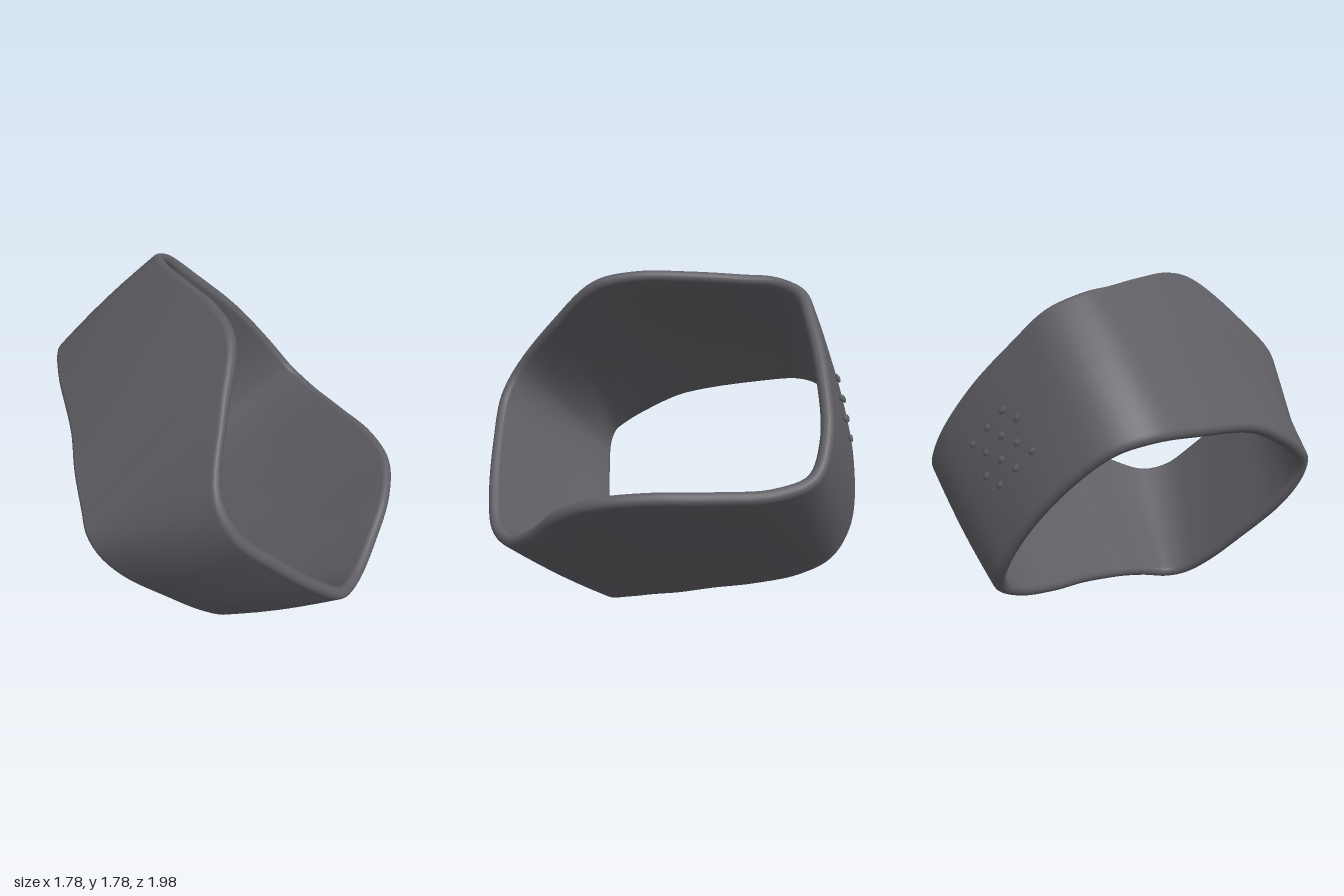
import * as THREE from 'three';

// Matching stations around the band: front rim x,y,z then back rim x,y,z
const STATIONS = [
  [-0.15, 1.78, -0.10, -0.78, 1.12, -0.10], [-0.15, 1.78, 0.20, -0.84, 1.03, 0.10],
  [-0.18, 1.73, 0.42, -0.875, 0.93, 0.27], [-0.33, 1.53, 0.65, -0.89, 0.85, 0.36],
  [-0.48, 1.26, 0.88, -0.85, 0.72, 0.40], [-0.43, 1.08, 0.97, -0.74, 0.55, 0.41],
  [-0.22, 0.84, 0.99, -0.52, 0.32, 0.41], [0.02, 0.60, 0.98, -0.32, 0.13, 0.41],
  [0.20, 0.45, 0.94, -0.18, 0.03, 0.40], [0.36, 0.41, 0.84, -0.07, 0.00, 0.35],
  [0.55, 0.49, 0.70, 0.02, 0.03, 0.24], [0.72, 0.62, 0.56, 0.09, 0.065, 0.10],
  [0.84, 0.70, 0.38, 0.14, 0.09, -0.03], [0.885, 0.73, 0.15, 0.18, 0.125, -0.20],
  [0.88, 0.73, -0.15, 0.22, 0.16, -0.42], [0.86, 0.74, -0.42, 0.26, 0.22, -0.65],
  [0.81, 0.81, -0.62, 0.27, 0.31, -0.81], [0.68, 1.00, -0.71, 0.18, 0.47, -0.93],
  [0.45, 1.28, -0.73, -0.02, 0.75, -0.985], [0.20, 1.52, -0.72, -0.27, 1.02, -0.98],
  [0.02, 1.68, -0.69, -0.46, 1.17, -0.93], [-0.10, 1.75, -0.56, -0.60, 1.22, -0.80],
  [-0.14, 1.765, -0.38, -0.69, 1.20, -0.55],
];
const R = 0.033; // half the wall thickness

function bandGeometry() {
  const loop = (o) => new THREE.CatmullRomCurve3(
    STATIONS.map((s) => new THREE.Vector3(s[o], s[o + 1], s[o + 2])), true, 'centripetal');
  const front = loop(0), back = loop(3), N = 138, ROWS = 6, ARC = 8;
  const positions = [], index = [];
  let P = 0;
  for (let i = 0; i < N; i++) {
    const t = i / N;
    const f = front.getPoint(t), b = back.getPoint(t);
    const across = f.clone().sub(b).normalize();
    const tangent = front.getTangent(t).add(back.getTangent(t));
    const out = tangent.cross(across).normalize();
    // Centres of the two rounded rims
    const cf = f.clone().addScaledVector(out, -R).addScaledVector(across, -0.4 * R);
    const cb = b.clone().addScaledVector(out, -R).addScaledVector(across, 0.4 * R);
    const ring = [];
    const wall = (from, to, side) => {
      for (let k = 1; k < ROWS; k++) {
        const bulge = 0.012 * Math.sin(Math.PI * k / ROWS);
        ring.push(from.clone().lerp(to, k / ROWS).addScaledVector(out, side * R + bulge));
      }
    };
    const rim = (c, dir) => {
      for (let k = 0; k <= ARC; k++) {
        const a = Math.PI * k / ARC;
        ring.push(c.clone().addScaledVector(out, dir * R * Math.cos(a))
          .addScaledVector(across, dir * R * Math.sin(a)));
      }
    };
    wall(cb, cf, 1);
    rim(cf, 1);
    wall(cf, cb, -1);
    rim(cb, -1);
    P = ring.length;
    ring.forEach((p) => positions.push(p.x, p.y, p.z));
  }
  for (let i = 0; i < N; i++) {
    for (let k = 0; k < P; k++) {
      const a = i * P + k, b = ((i + 1) % N) * P + k;
      const c = ((i + 1) % N) * P + (k + 1) % P, d = i * P + (k + 1) % P;
      index.push(a, b, c, a, c, d);
    }
  }
  const g = new THREE.BufferGeometry();
  g.setAttribute('position', new THREE.Float32BufferAttribute(positions, 3));
  g.setIndex(index);
  g.computeVertexNormals();
  return g;
}

export function createModel() {
  const model = new THREE.Group();
  const rubber = new THREE.MeshStandardMaterial({ color: 0x5f5e64 });
  rubber.name = 'dark grey';

  const add = (parent, geometry, name, x = 0, y = 0, z = 0) => {
    const mesh = new THREE.Mesh(geometry, rubber);
    mesh.name = name;
    mesh.position.set(x, y, z);
    parent.add(mesh);
    return mesh;
  };

  add(model, bandGeometry(), 'band');

  // Local frame of the back wall: x along the band, y across it, z to the inside
  const u = new THREE.Vector3(0.70, -0.715, 0).normalize();
  const n = u.clone().cross(new THREE.Vector3(0.69, 0.75, 0.37)).normalize();
  const v = n.clone().cross(u);
  const panel = new THREE.Group();
  panel.name = 'studPanel';
  panel.quaternion.setFromRotationMatrix(new THREE.Matrix4().makeBasis(u, v, n));
  panel.position.set(0.15, 1.07, -0.868);
  model.add(panel);

  // Inner pad with a raised border and angled corner tabs
  const inside = 2 * R;
  add(panel, new THREE.BoxGeometry(0.43, 0.34, 0.02), 'pad', 0, 0, inside - 0.005);
  for (const s of [-1, 1]) {
    add(panel, new THREE.BoxGeometry(0.45, 0.014, 0.03), 'padBorder', 0, s * 0.17, inside - 0.003);
    add(panel, new THREE.BoxGeometry(0.014, 0.34, 0.03), 'padBorder', s * 0.218, 0, inside - 0.003);
    for (const q of [-1, 1]) {
      const tab = add(panel, new THREE.CylinderGeometry(0.045, 0.075, 0.03, 6).toNonIndexed(),
        'cornerTab', s * 0.245, q * 0.2, inside - 0.003);
      tab.geometry.computeVertexNormals();
      tab.rotation.x = Math.PI / 2;
    }
  }

  // Small studs on the pad, and low bumps on the outside
  const stud = new THREE.ConeGeometry(0.02, 0.024, 5).rotateX(Math.PI / 2);
  for (let r = 0; r < 5; r++) {
    for (let c = 0; c < 7 - (r % 2); c++) {
      add(panel, stud, 'stud', (c - 3 + (r % 2) / 2) * 0.06, (r - 2) * 0.064, inside + 0.015);
    }
  }
  const bump = new THREE.SphereGeometry(0.022, 8, 6).scale(1, 0.7, 0.4);
  for (let r = 0; r < 4; r++) {
    for (let c = 0; c < 3; c++) {
      add(panel, bump, 'outerBump', (c - 1) * 0.13 + (r % 2 ? 0.03 : -0.03), (r - 1.5) * 0.09, -0.014);
    }
  }
  return model;
}
